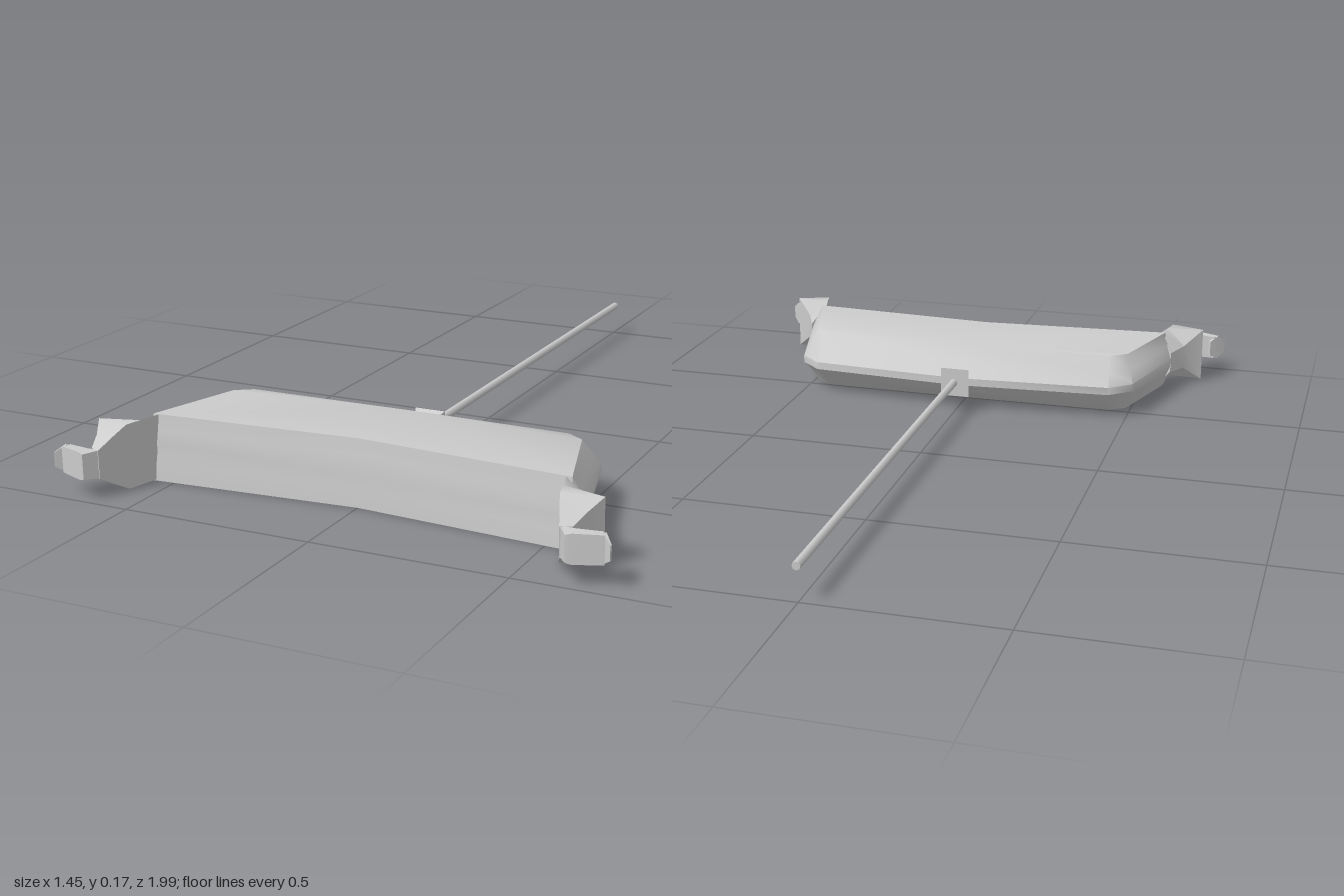
import * as THREE from 'three';
import { toCreasedNormals } from 'three/addons/utils/BufferGeometryUtils.js';

const MID = 0.086; // height of the horizontal mid plane
const material = new THREE.MeshStandardMaterial({ color: 0xcccccc, side: THREE.DoubleSide });

// Closed skin over equal-length rings of [x, y, z]; turned outward by its signed volume
function loft(rings, crease) {
  const tris = [];
  const n = rings[0].length;
  for (let r = 0; r < rings.length - 1; r++) {
    for (let i = 0; i < n; i++) {
      const j = (i + 1) % n;
      const [a, b, c, d] = [rings[r][i], rings[r][j], rings[r + 1][j], rings[r + 1][i]];
      tris.push([a, b, c], [a, c, d]);
    }
  }
  const last = rings[rings.length - 1];
  for (let i = 1; i < n - 1; i++) {
    tris.push([rings[0][0], rings[0][i + 1], rings[0][i]], [last[0], last[i], last[i + 1]]);
  }
  let volume = 0;
  for (const t of tris) {
    const [a, b, c] = t.map((p) => new THREE.Vector3(...p));
    volume += a.dot(b.cross(c));
  }
  if (volume < 0) tris.forEach((t) => t.reverse());
  const geometry = new THREE.BufferGeometry();
  geometry.setAttribute('position', new THREE.Float32BufferAttribute(tris.flat(2), 3));
  geometry.computeVertexNormals();
  return toCreasedNormals(geometry, crease);
}

function add(group, name, geometry) {
  const mesh = new THREE.Mesh(geometry, material);
  mesh.name = name;
  group.add(mesh);
}

// Plan outline of the blade at one height: left half mirrored to the right
function bladeRing(y, half) {
  const left = half.map(([x, z]) => [x, y, z]);
  const right = half.slice(1, -1).reverse().map(([x, z]) => [-x, y, z]);
  return [...left, ...right];
}

// Vertical-walled section between an inner and outer plan point
function armSection([ix, iz, ih, ox, oz, oh], side) {
  return [
    [side * ix, MID + ih, iz], [side * ox, MID + oh, oz],
    [side * ox, MID - oh, oz], [side * ix, MID - ih, iz],
  ];
}

export function createModel() {
  const model = new THREE.Group();

  // Blade: flat top and bottom, back and sides bevelled to a ridge
  const flat = (front) => [[0, 0.5], [0.44, 0.505], [0.485, 0.535], [0.555, 0.77], [0.56, front + 0.04], [0, front]];
  const slope = (front) => [[0, 0.43], [0.445, 0.455], [0.5, 0.505], [0.575, 0.77], [0.56, front + 0.04], [0, front]];
  const ridge = [[0, 0.387], [0.45, 0.42], [0.513, 0.475], [0.588, 0.765], [0.56, 0.795], [0, 0.757]];
  add(model, 'blade', loft([
    bladeRing(0, flat(0.763)),
    bladeRing(0.045, slope(0.76)),
    bladeRing(0.075, ridge),
    bladeRing(0.097, ridge),
    bladeRing(0.13, slope(0.75)),
    bladeRing(0.17, flat(0.745)),
  ], 0.75));

  for (const side of [1, -1]) {
    const arm = new THREE.Group();
    arm.name = side > 0 ? 'leftArm' : 'rightArm';

    // Neck that flares to a fin and tapers to the hook
    const neck = [
      [0.545, 0.785, 0.083, 0.585, 0.75, 0.03],
      [0.56, 0.84, 0.083, 0.615, 0.82, 0.035],
      [0.57, 0.885, 0.083, 0.667, 0.862, 0.08],
      [0.585, 0.925, 0.06, 0.642, 0.908, 0.055],
      [0.6, 0.962, 0.036, 0.627, 0.95, 0.036],
    ];
    add(arm, 'neck', loft(neck.map((s) => armSection(s, side)), 0.7));

    // Hook bar turning outward
    const bar = [
      [0.625, 0.992, 0.032, 0.598, 0.955, 0.036],
      [0.64, 0.988, 0.036, 0.632, 0.957, 0.036],
      [0.706, 0.965, 0.034, 0.695, 0.944, 0.034],
    ];
    add(arm, 'hookBar', loft(bar.map((s) => armSection(s, side)), 0.7));

    // Thin lip with a tapered tip
    const lip = [
      [0.678, 0.938, 0.022, 0.684, 0.933, 0.022],
      [0.698, 0.957, 0.036, 0.704, 0.951, 0.036],
      [0.722, 0.976, 0.018, 0.724, 0.972, 0.018],
    ];
    add(arm, 'hookLip', loft(lip.map((s) => armSection(s, side)), 0.7));
    model.add(arm);
  }

  // Square socket flaring toward the handle
  const square = (z, h) => [[-h, -h], [h, -h], [h, h], [-h, h]].map(([x, y]) => [x, 0.09 + y, z]);
  add(model, 'socket', loft([square(0.366, 0.042), square(0.405, 0.022)], 0.5));

  // Long handle
  const handle = new THREE.CylinderGeometry(0.011, 0.011, 1.39, 8);
  handle.rotateX(Math.PI / 2).translate(0.003, 0.09, -0.305);
  add(model, 'handle', handle);

  return model;
}
